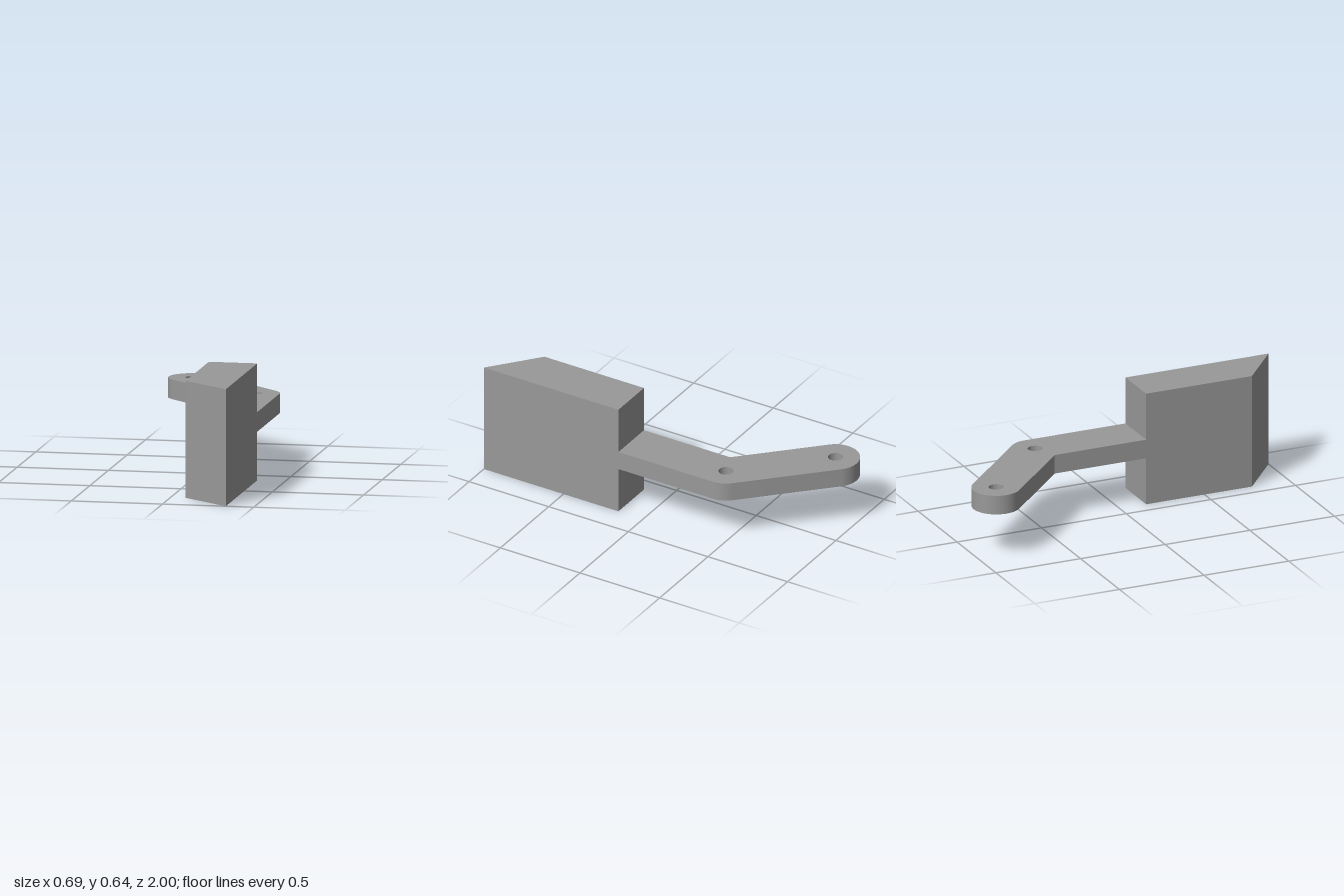
import * as THREE from 'three';
import { toCreasedNormals } from 'three/addons/utils/BufferGeometryUtils.js';

// Extrude a plan outline (x, -z) upward from y0 to y1
function plate(shape, y0, y1) {
  const geo = new THREE.ExtrudeGeometry(shape, { depth: y1 - y0, bevelEnabled: false, curveSegments: 32 });
  geo.rotateX(-Math.PI / 2);
  geo.translate(0, y0, 0);
  return toCreasedNormals(geo, 0.5);
}

export function createModel() {
  const group = new THREE.Group();
  const grey = new THREE.MeshStandardMaterial({ color: 0x999999 });
  grey.name = 'grey';

  const add = (name, geometry) => {
    const mesh = new THREE.Mesh(geometry, grey);
    mesh.name = name;
    group.add(mesh);
  };

  const left = 0.347, right = 0.082, r = (left - right) / 2;
  const back = -0.155;

  // Tall block with a slanted front
  const block = new THREE.Shape([
    [right, back], [right, -0.78], [left, -1], [left, back],
  ].map(([x, y]) => new THREE.Vector2(x, y)));
  add('block', plate(block, 0, 0.637));

  // Flat arm, bent 45 degrees at the elbow, with a rounded tip
  const elbow = new THREE.Vector2(right + r, 0.44);
  const tip = new THREE.Vector2(-left + r, 0.8675);
  const arm = new THREE.Shape();
  arm.moveTo(right, back);
  arm.lineTo(left, back);
  arm.absarc(elbow.x, elbow.y, r, 0, Math.PI / 4, false);
  arm.absarc(tip.x, tip.y, r, Math.PI / 4, Math.PI * 1.25, false);
  arm.lineTo(right, elbow.x + elbow.y - r * Math.SQRT2 - right);
  arm.closePath();

  // Pin holes at the elbow and the tip
  for (const c of [elbow, tip]) {
    const hole = new THREE.Path();
    hole.absarc(c.x, c.y, 0.04, 0, Math.PI * 2, true);
    arm.holes.push(hole);
  }
  add('arm', plate(arm, 0.265, 0.372));

  return group;
}
